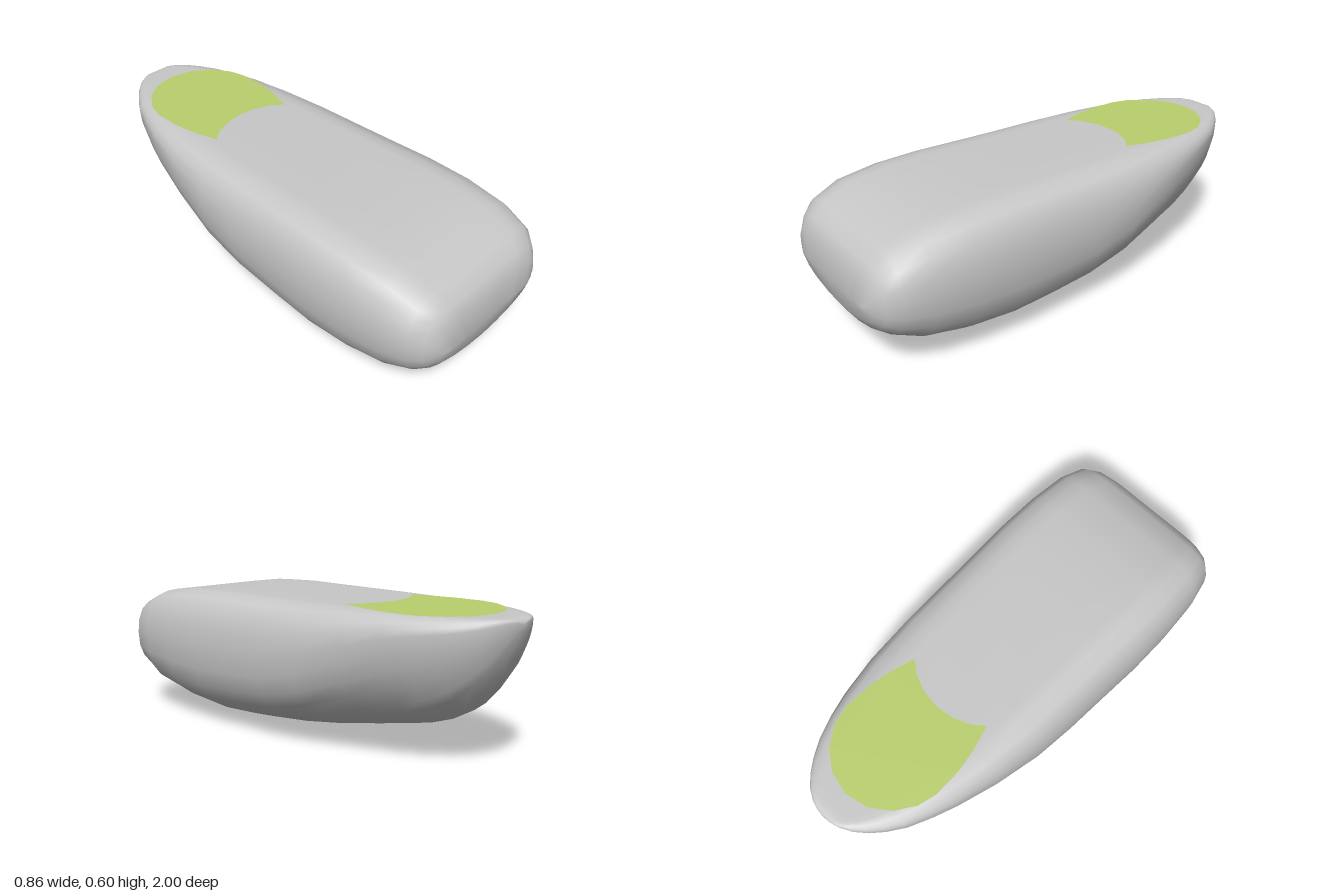
import * as THREE from 'three';
import { mergeVertices } from 'three/addons/utils/BufferGeometryUtils.js';

// Stations from the blunt front to the pointed back: [z, half width, bottom, top]
const STATIONS = [
  [1, 0.25, 0.32, 0.32], [0.98, 0.31, 0.21, 0.43], [0.95, 0.35, 0.16, 0.475],
  [0.9, 0.39, 0.12, 0.52], [0.78, 0.418, 0.058, 0.568], [0.6, 0.43, 0.018, 0.592],
  [0.4, 0.43, 0, 0.6], [0.2, 0.42, 0.01, 0.6], [0, 0.412, 0.03, 0.6],
  [-0.2, 0.4, 0.06, 0.6], [-0.42, 0.368, 0.1, 0.6], [-0.6, 0.325, 0.135, 0.6],
  [-0.7, 0.292, 0.17, 0.6], [-0.8, 0.25, 0.225, 0.6], [-0.87, 0.206, 0.3, 0.6],
  [-0.92, 0.165, 0.37, 0.6], [-0.96, 0.12, 0.445, 0.6], [-0.985, 0.073, 0.51, 0.597],
  [-0.996, 0.037, 0.55, 0.59], [-1, 0, 0.575, 0.575],
];

// Normalised half section from top centre to bottom centre
const XS = [0, 0.3, 0.58, 0.7, 0.84, 0.93, 0.985, 1, 0.985, 0.93, 0.84, 0.7, 0.58, 0.3, 0];
const ROUND = [1, 1, 1, 0.992, 0.955, 0.88, 0.75, 0.6, 0.44, 0.31, 0.21, 0.135, 0.09, 0.025, 0];
const SHARP = [1, 1, 1, 1, 0.99, 0.955, 0.91, 0.85, 0.72, 0.57, 0.42, 0.26, 0.17, 0.04, 0];

function hullGeometry() {
  const pos = [], index = [];
  const half = XS.length, ring = 2 * half - 2;
  for (const [z, w, bottom, top] of STATIONS) {
    const t = THREE.MathUtils.smoothstep(-z, 0, 0.8);
    for (let j = 0; j < ring; j++) {
      const k = j < half ? j : ring - j;
      const y = THREE.MathUtils.lerp(ROUND[k], SHARP[k], t);
      pos.push((j < half ? 1 : -1) * XS[k] * w, bottom + (top - bottom) * y, z);
    }
  }
  for (let i = 0; i < STATIONS.length - 1; i++) {
    for (let j = 0; j < ring; j++) {
      const a = i * ring + j, b = i * ring + (j + 1) % ring;
      index.push(a, b, a + ring, b, b + ring, a + ring);
    }
  }
  const g = new THREE.BufferGeometry();
  g.setAttribute('position', new THREE.Float32BufferAttribute(pos, 3));
  g.setIndex(index);
  const merged = mergeVertices(g, 1e-5);
  merged.computeVertexNormals();
  return merged;
}

// Flat panel: rounded at the back, concave along its front edge
function panelGeometry() {
  const side = [[0.1, 0.858], [0.18, 0.8], [0.235, 0.72], [0.255, 0.64], [0.253, 0.52], [0.235, 0.415], [0.205, 0.31]];
  const inner = [[0.15, 0.352], [0.08, 0.38]];
  const right = [...side, ...inner];
  const left = right.map(([x, y]) => [-x, y]).reverse();
  const outline = [[0, 0.88], ...right, [0, 0.39], ...left];
  const shape = new THREE.Shape(outline.map(([x, y]) => new THREE.Vector2(x, y)));
  return new THREE.ShapeGeometry(shape).rotateX(-Math.PI / 2);
}

export function createModel() {
  const grey = new THREE.MeshStandardMaterial({ color: 0xc8c8c8 });
  grey.name = 'light grey';
  const green = new THREE.MeshStandardMaterial({ color: 0xb9d06c });
  green.name = 'leaf green';

  const model = new THREE.Group();
  model.name = 'pod';

  const hull = new THREE.Mesh(hullGeometry(), grey);
  hull.name = 'hull';
  model.add(hull);

  const panel = new THREE.Mesh(panelGeometry(), green);
  panel.name = 'topPanel';
  panel.position.y = 0.602;
  model.add(panel);

  return model;
}
